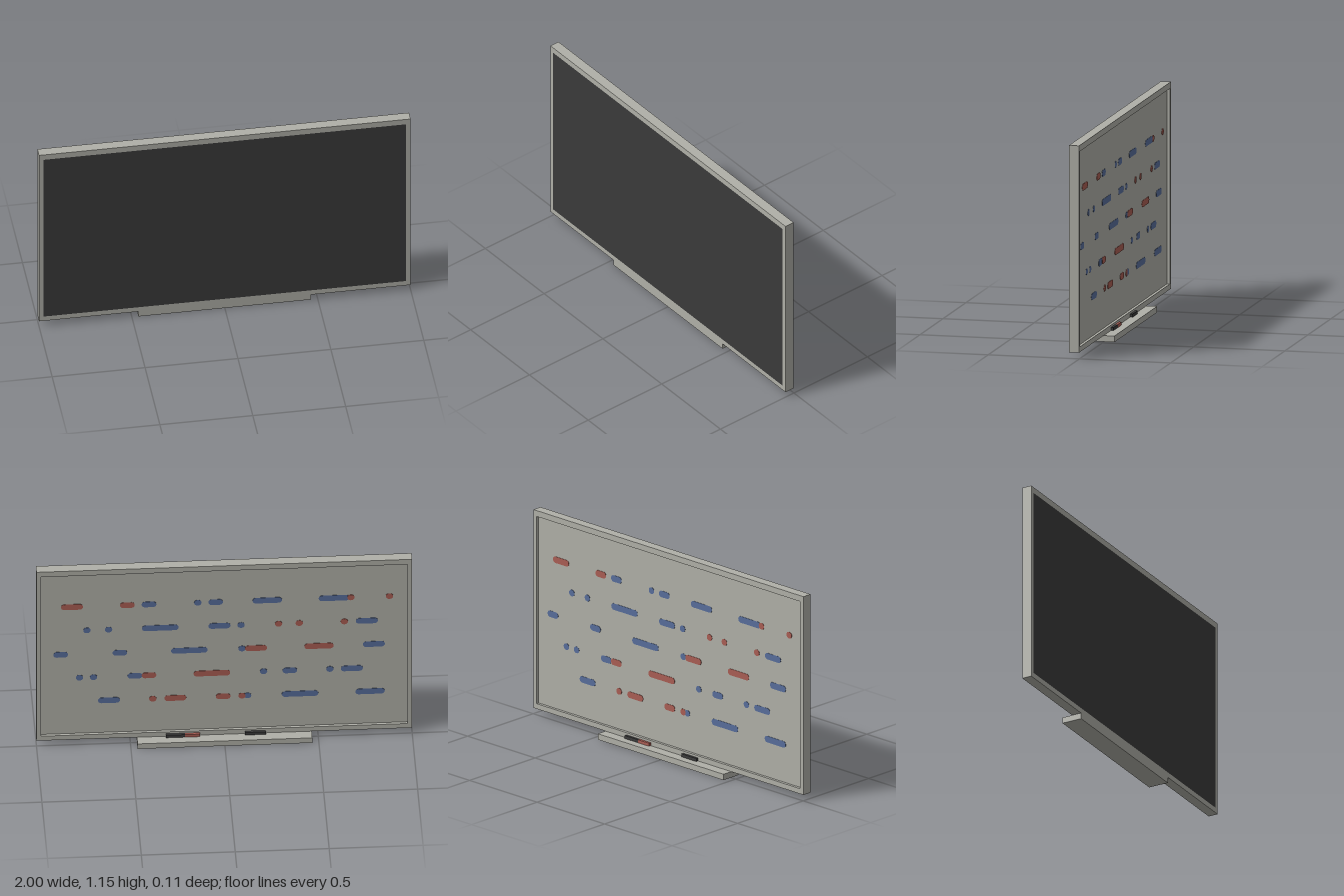
import * as THREE from 'three';

const material = (name, color) => {
  const m = new THREE.MeshStandardMaterial({ color });
  m.name = name;
  return m;
};

export function createModel() {
  const group = new THREE.Group();
  const grey = material('warm grey', 0xb0b0a8);
  const dark = material('charcoal', 0x3b3b3b);
  const red = material('marker red', 0xaa5e54);
  const blue = material('marker blue', 0x586e9b);

  const add = (name, geometry, mat) => {
    const mesh = new THREE.Mesh(geometry, mat);
    mesh.name = name;
    group.add(mesh);
    return mesh;
  };
  // box given by its lower and upper limits
  const box = (name, mat, x0, x1, y0, y1, z0, z1) =>
    add(name, new THREE.BoxGeometry(x1 - x0, y1 - y0, z1 - z0), mat)
      .position.set((x0 + x1) / 2, (y0 + y1) / 2, (z0 + z1) / 2);
  const rectangle = (P, x, y0, y1) => new P([
    new THREE.Vector2(-x, y0), new THREE.Vector2(x, y0),
    new THREE.Vector2(x, y1), new THREE.Vector2(-x, y1),
  ]);

  // frame around the recessed writing board
  const outline = rectangle(THREE.Shape, 1, 0.033, 1.15);
  outline.holes.push(rectangle(THREE.Path, 0.976, 0.062, 1.117));
  add('frame', new THREE.ExtrudeGeometry(outline, { depth: 0.055, bevelEnabled: false }), grey)
    .position.z = 0.002;
  box('writingBoard', grey, -0.976, 0.976, 0.062, 1.117, 0.018, 0.052);
  box('darkPanel', dark, -0.976, 0.976, 0.062, 1.117, 0.052, 0.057);

  // tray with pens
  box('tray', grey, -0.465, 0.465, 0, 0.033, -0.057, 0.057);
  const pens = [['darkPen', dark, -0.22, -0.11], ['redPen', red, 0.13, 0.21], ['darkPen', dark, 0.21, 0.31]];
  for (const [name, mat, x0, x1] of pens) box(name, mat, x0, x1, 0.033, 0.05, -0.012, 0.002);

  // rounded pen strokes in five rows: [centre x, length in units]
  const unit = 0.039, r = 0.018;
  const rows = [0.9, 0.742, 0.586, 0.43, 0.274];
  const redStrokes = [
    [[0.81, 3], [0.515, 2], [-0.675, 1], [-0.88, 1]],
    [[-0.29, 1], [-0.4, 1], [-0.64, 1]],
    [[-0.17, 3], [-0.505, 4]],
    [[0.4, 2], [0.065, 5]],
    [[0.38, 1], [0.26, 3], [0.005, 2], [-0.095, 1]],
  ];
  const blueStrokes = [
    [[0.4, 2], [0.14, 1], [0.045, 2], [-0.23, 4], [-0.585, 4.2]],
    [[0.73, 1], [0.615, 1], [0.34, 5], [0.025, 3], [-0.09, 1], [-0.76, 3]],
    [[0.87, 2], [0.555, 2], [0.185, 5], [-0.095, 1], [-0.797, 3]],
    [[0.77, 1], [0.695, 1], [0.475, 2], [-0.21, 1], [-0.35, 2], [-0.563, 1], [-0.68, 3]],
    [[0.613, 3], [-0.125, 1], [-0.404, 5], [-0.777, 4]],
  ];
  const stroke = (name, mat, x, y, length, depth) => {
    const h = Math.max(length * unit / 2 - r, 0.001);
    const s = new THREE.Shape();
    s.absarc(h, 0, r, -Math.PI / 2, Math.PI / 2, false);
    s.absarc(-h, 0, r, Math.PI / 2, Math.PI * 1.5, false);
    add(name, new THREE.ExtrudeGeometry(s, { depth, bevelEnabled: false, curveSegments: 8 }), mat)
      .position.set(x, y, 0.018 - depth);
  };
  rows.forEach((y, i) => {
    for (const [x, n] of redStrokes[i]) stroke('redStroke', red, x, y, n, 0.002);
    for (const [x, n] of blueStrokes[i]) stroke('blueStroke', blue, x, y, n, 0.0015);
  });

  return group;
}
